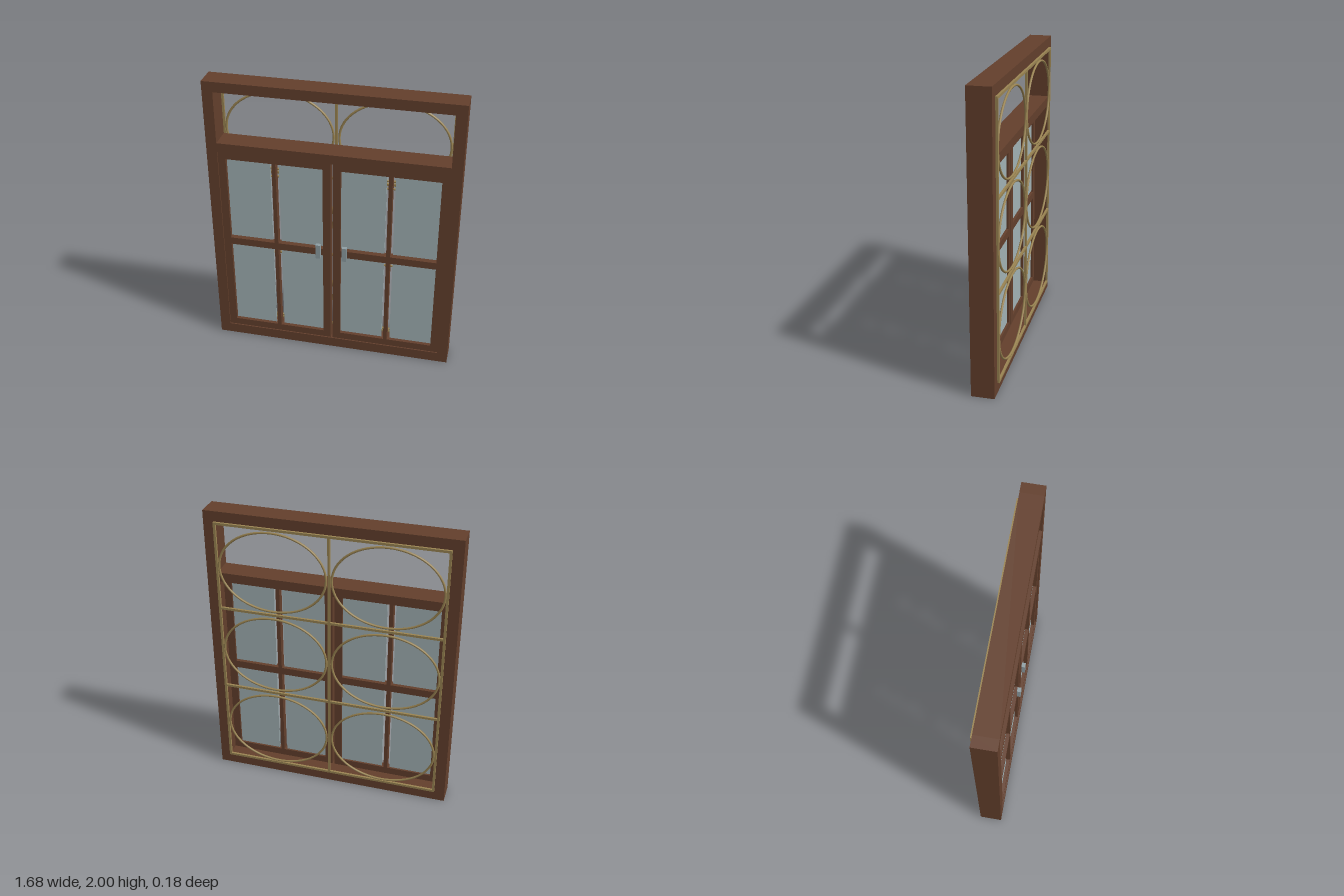
import * as THREE from 'three';

const wood = new THREE.MeshStandardMaterial({ color: 0x633f2c });
wood.name = 'brown wood';
const glass = new THREE.MeshStandardMaterial({ color: 0xa2b2b5 });
glass.name = 'grey glass';
const brass = new THREE.MeshStandardMaterial({ color: 0x9a8452 });
brass.name = 'brass';
const steel = new THREE.MeshStandardMaterial({ color: 0x8f9fa4 });
steel.name = 'handle steel';

// Box given by its limits on each axis
function slab(parent, name, material, [x0, x1], [y0, y1], [z0, z1]) {
  const mesh = new THREE.Mesh(new THREE.BoxGeometry(x1 - x0, y1 - y0, z1 - z0), material);
  mesh.position.set((x0 + x1) / 2, (y0 + y1) / 2, (z0 + z1) / 2);
  mesh.name = name;
  parent.add(mesh);
  return mesh;
}

// Same limits mirrored to the given side (+1 or -1)
const onSide = (side, a, b) => (side > 0 ? [a, b] : [-b, -a]);

function createFrame() {
  const frame = new THREE.Group();
  frame.name = 'outerFrame';
  const depth = [-0.077, 0.077];
  for (const side of [-1, 1]) slab(frame, 'sidePost', wood, onSide(side, 0.768, 0.84), [0, 2], depth);
  slab(frame, 'bottomRail', wood, [-0.768, 0.768], [0, 0.074], depth);
  slab(frame, 'transom', wood, [-0.768, 0.768], [1.506, 1.57], depth);
  slab(frame, 'topRail', wood, [-0.768, 0.768], [1.93, 2], depth);
  return frame;
}

function createSash(side) {
  const sash = new THREE.Group();
  sash.name = side > 0 ? 'leftSash' : 'rightSash';
  const depth = [0.02, 0.068];
  const inner = onSide(side, 0.06, 0.716);

  // Stiles and rails
  slab(sash, 'outerStile', wood, onSide(side, 0.716, 0.768), [0.074, 1.506], depth);
  slab(sash, 'innerStile', wood, onSide(side, 0.007, 0.06), [0.074, 1.506], depth);
  slab(sash, 'sashBottomRail', wood, inner, [0.074, 0.125], depth);
  slab(sash, 'sashMiddleRail', wood, inner, [0.785, 0.837], depth);
  slab(sash, 'sashTopRail', wood, inner, [1.454, 1.506], depth);

  // Glazing bars and panes, with a narrow gap around the bars
  for (const [y0, y1, p0, p1] of [[0.125, 0.785, 0.125, 0.777], [0.837, 1.454, 0.845, 1.454]]) {
    slab(sash, 'glazingBar', wood, onSide(side, 0.376, 0.402), [y0, y1], depth);
    slab(sash, 'pane', glass, onSide(side, 0.06, 0.36), [p0, p1], [0.034, 0.043]);
    slab(sash, 'pane', glass, onSide(side, 0.418, 0.716), [p0, p1], [0.034, 0.043]);
  }

  // Handle block on the middle rail
  slab(sash, 'handle', steel, onSide(side, 0.075, 0.108), [0.77, 0.875], [0.066, 0.092]);
  return sash;
}

// Closed elliptical path for the rings
class EllipsePath extends THREE.Curve {
  getPoint(t, target = new THREE.Vector3()) {
    const a = t * Math.PI * 2;
    return target.set(0.364 * Math.cos(a), 0.281 * Math.sin(a), 0);
  }
}

function createGrille() {
  const grille = new THREE.Group();
  grille.name = 'backGrille';
  const depth = [-0.092, -0.077];
  const bottom = 0.075, top = 1.93, row = (top - bottom) / 3;

  // Upright and level bars
  for (const x of [-0.761, 0, 0.761]) {
    slab(grille, 'uprightBar', brass, [x - 0.008, x + 0.008], [bottom, top], depth);
  }
  for (const y of [bottom + 0.008, bottom + row, bottom + 2 * row, top - 0.008]) {
    slab(grille, 'levelBar', brass, [-0.768, 0.768], [y - 0.008, y + 0.008], depth);
  }

  // Two columns of three rings
  const ringGeometry = new THREE.TubeGeometry(new EllipsePath(), 72, 0.0078, 8, true);
  for (const x of [-0.383, 0.383]) {
    for (let i = 0; i < 3; i++) {
      const ring = new THREE.Mesh(ringGeometry, brass);
      ring.name = 'grilleRing';
      ring.position.set(x, bottom + row * (i + 0.5) - 0.003, -0.0845);
      grille.add(ring);
    }
  }
  return grille;
}

export function createModel() {
  const model = new THREE.Group();
  model.name = 'window';
  model.add(createFrame(), createSash(-1), createSash(1), createGrille());
  return model;
}
